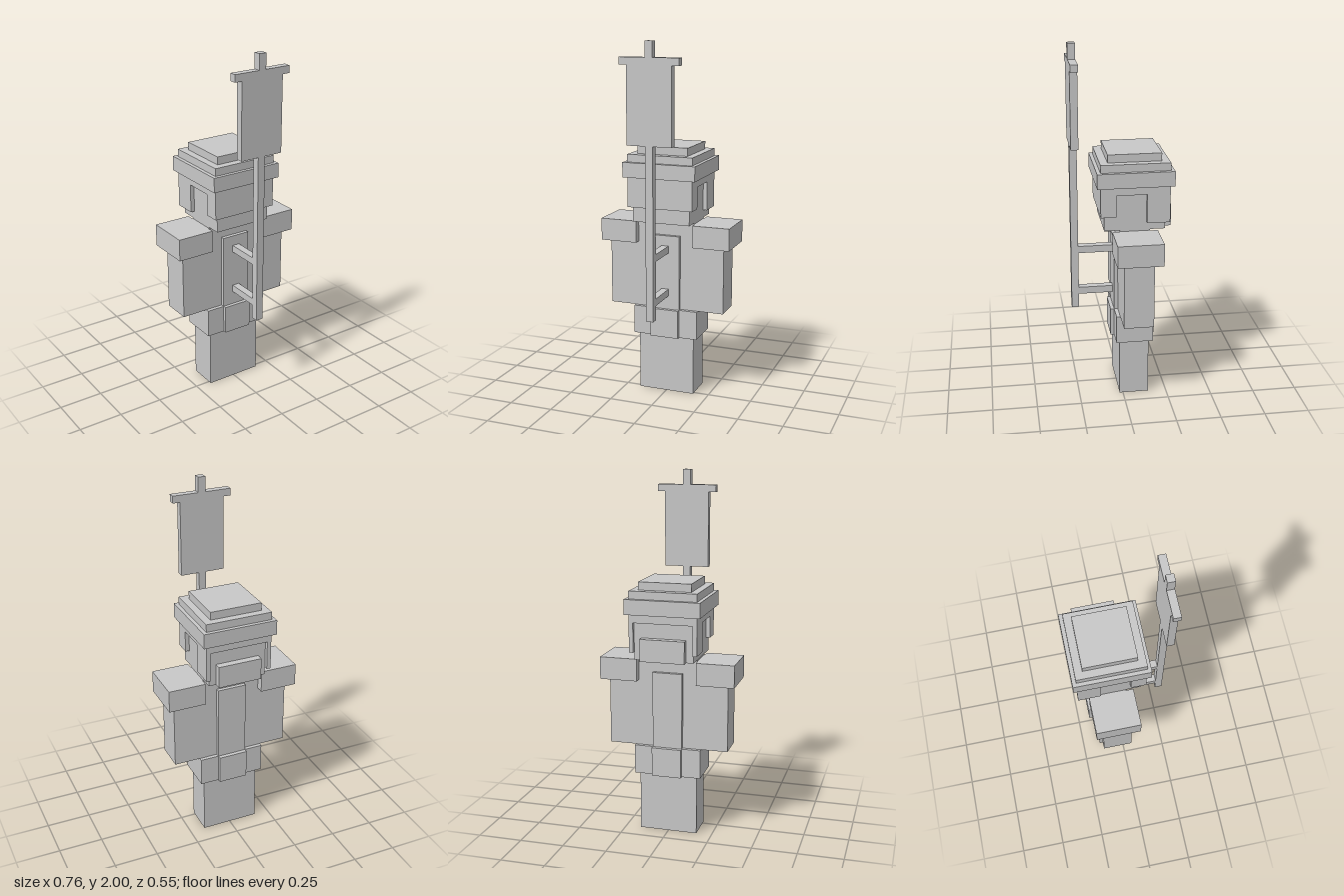
import * as THREE from 'three';

export function createModel() {
  const model = new THREE.Group();
  model.name = 'bannerSoldier';

  const grey = new THREE.MeshStandardMaterial({ color: 0xc8c8c8 });
  grey.name = 'light grey';

  // Box given by its extents along each axis
  function block(name, [x0, x1], [y0, y1], [z0, z1], parent) {
    const mesh = new THREE.Mesh(new THREE.BoxGeometry(x1 - x0, y1 - y0, z1 - z0), grey);
    mesh.position.set((x0 + x1) / 2, (y0 + y1) / 2, (z0 + z1) / 2);
    mesh.name = name;
    parent.add(mesh);
  }
  // Box symmetric about x = 0
  const centred = (name, w, y, z, parent) => block(name, [-w, w], y, z, parent);
  // Mirrored pair of boxes
  function pair(name, [x0, x1], y, z, parent) {
    block(name + 'Left', [x0, x1], y, z, parent);
    block(name + 'Right', [-x1, -x0], y, z, parent);
  }
  function group(name) {
    const g = new THREE.Group();
    g.name = name;
    model.add(g);
    return g;
  }

  // Body
  const body = group('body');
  const core = [-0.146, 0.019];
  const padded = [-0.167, 0.04];
  const outer = [-0.19, 0.06];
  centred('legs', 0.163, [0, 0.337], core, body);
  centred('hips', 0.188, [0.337, 0.5], padded, body);
  centred('loincloth', 0.083, [0.337, 0.5], outer, body);
  centred('torsoAndArms', 0.336, [0.5, 1.0], core, body);
  centred('chestStrip', 0.083, [0.5, 0.926], padded, body);
  pair('shoulderGuard', [0.167, 0.378], [0.875, 1.0], outer, body);
  centred('neck', 0.163, [1.0, 1.008], core, body);

  // Head with mask
  const head = group('head');
  centred('skull', 0.165, [1.008, 1.24], [-0.23, 0.104], head);
  centred('mask', 0.124, [1.008, 1.131], [-0.269, -0.23], head);

  // Helmet: rim band, neck guard, cheek guards and stepped crown
  const helmet = group('helmet');
  centred('helmetBand', 0.188, [1.214, 1.26], [-0.253, 0.125], helmet);
  centred('neckGuard', 0.188, [1.092, 1.214], [0.04, 0.125], helmet);
  pair('cheekGuard', [0.165, 0.188], [1.051, 1.214], [-0.253, -0.127], helmet);
  centred('brim', 0.209, [1.26, 1.343], [-0.274, 0.145], helmet);
  centred('crownStep', 0.188, [1.343, 1.386], [-0.253, 0.125], helmet);
  centred('crownTop', 0.146, [1.386, 1.43], [-0.211, 0.082], helmet);

  // Banner on its pole, held by two brackets
  const banner = group('banner');
  const flat = [0.233, 0.274];
  centred('pole', 0.021, [0.497, 1.457], flat, banner);
  centred('cloth', 0.126, [1.457, 1.876], flat, banner);
  centred('crossbar', 0.167, [1.876, 1.916], flat, banner);
  centred('poleTip', 0.021, [1.916, 2.0], flat, banner);
  for (const y of [0.578, 0.828]) centred('bracket', 0.021, [y, y + 0.04], [0.04, 0.233], banner);

  return model;
}
